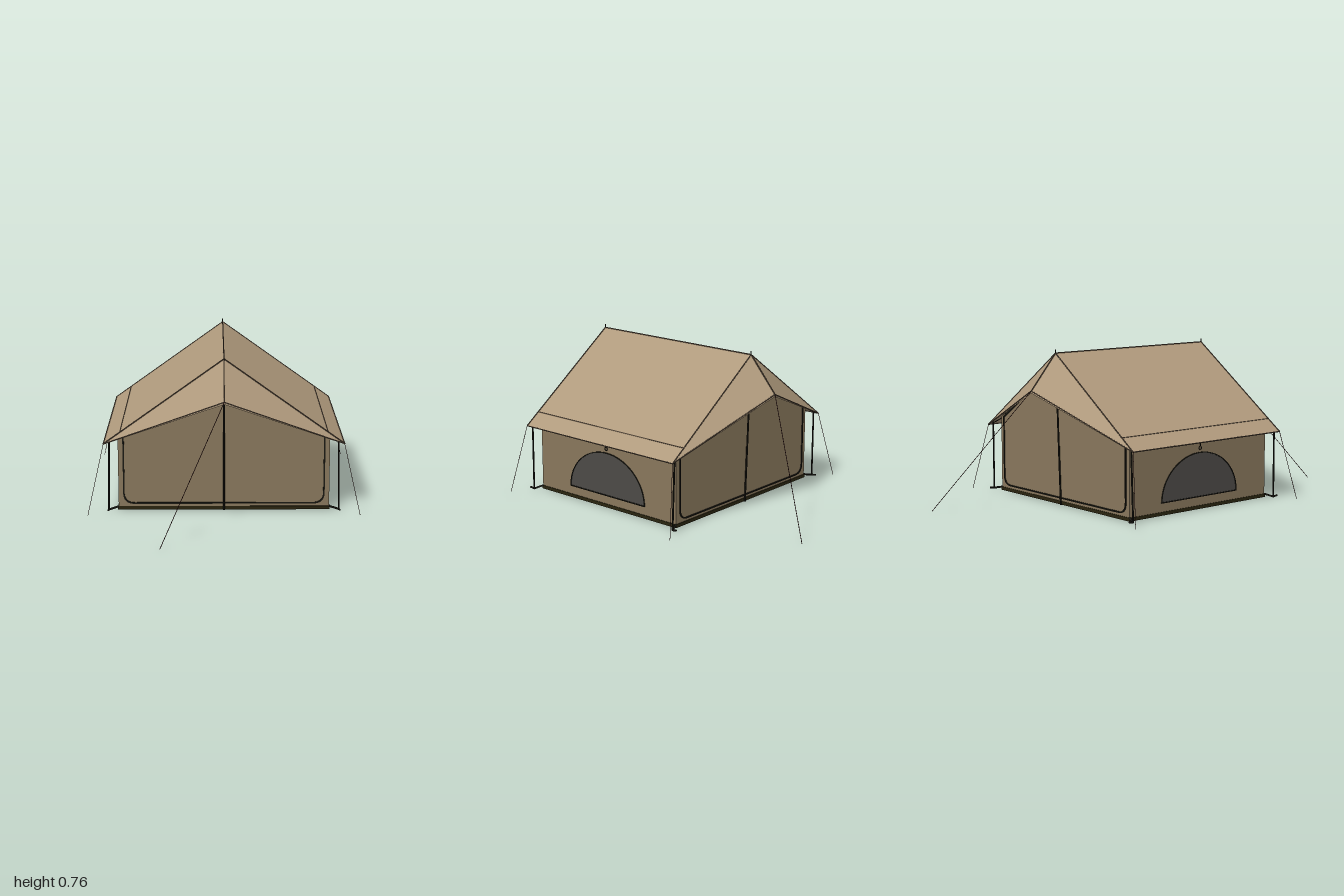
import * as THREE from 'three';

const mat = (name, color, side = THREE.FrontSide) => {
  const m = new THREE.MeshStandardMaterial({ color, side });
  m.name = name;
  return m;
};

export function createModel() {
  const tent = new THREE.Group();
  tent.name = 'canvasTent';
  const roofTan = mat('roof canvas', 0xb09a7d, THREE.DoubleSide);
  const wallTan = mat('wall canvas', 0x88775c, THREE.DoubleSide);
  const meshGrey = mat('window mesh', 0x4c4a47, THREE.DoubleSide);
  const seamBrown = mat('seam brown', 0x5c4e40);
  const black = mat('black webbing', 0x1a1913);
  const floorDark = mat('groundsheet', 0x29240f);
  const cord = mat('guy cord', 0x3a1719);

  const add = (name, geometry, material) => {
    const mesh = new THREE.Mesh(geometry, material);
    mesh.name = name;
    tent.add(mesh);
    return mesh;
  };
  const V = (x, y, z) => new THREE.Vector3(x, y, z);
  // Flat panel from a fan of corners
  const panel = (name, corners, material) => {
    const pts = [];
    for (let i = 1; i < corners.length - 1; i++) pts.push(corners[0], corners[i], corners[i + 1]);
    const g = new THREE.BufferGeometry().setFromPoints(pts);
    g.computeVertexNormals();
    return add(name, g, material);
  };
  // Straight rod between two points
  const rod = (name, a, b, r, material, sides = 6) => {
    const d = b.clone().sub(a);
    const m = add(name, new THREE.CylinderGeometry(r, r, d.length(), sides), material);
    m.position.copy(a).add(b).multiplyScalar(0.5);
    m.quaternion.setFromUnitVectors(V(0, 1, 0), d.normalize());
    return m;
  };

  const EX = 0.565, EY = 0.335, RY = 0.74, RZ = 0.475;
  const WX = 0.5, WZ = 0.44;
  const roofY = (x) => EY + (1 - Math.abs(x) / EX) * (RY - EY);

  // Groundsheet with a low tub edge
  add('groundsheet', new THREE.BoxGeometry(WX * 2 + 0.006, 0.017, WZ * 2 + 0.006), floorDark)
    .position.y = 0.0105;

  // Gable wall outline and its inset door outline
  const wallTop = roofY(WX) - 0.004;
  const gable = new THREE.Shape([[-WX, 0.01], [WX, 0.01], [WX, wallTop], [0, RY - 0.006], [-WX, wallTop]]
    .map(([x, y]) => new THREE.Vector2(x, y)));
  const doorLine = (shape, i) => {
    const x = 0.478 - i, y = 0.031 + i, r = 0.055 - i;
    shape.moveTo(-x + r, y);
    shape.lineTo(x - r, y);
    shape.quadraticCurveTo(x, y, x, y + r);
    shape.lineTo(x, 0.385 - i);
    shape.lineTo(0, 0.715 - i);
    shape.lineTo(-x, 0.385 - i);
    shape.lineTo(-x, y + r);
    shape.quadraticCurveTo(-x, y, -x + r, y);
    return shape;
  };
  const zipShape = doorLine(new THREE.Shape(), 0);
  zipShape.holes.push(doorLine(new THREE.Path(), 0.007));
  const zipGeometry = new THREE.ExtrudeGeometry(zipShape, { depth: 0.004, bevelEnabled: false });

  // Half-round side window and its rim
  const arch = (shape, i) => {
    shape.moveTo(0.245 - i, 0.06 + i);
    shape.absellipse(0, 0.06 + i, 0.245 - i, 0.217 - 2 * i, 0, Math.PI, false);
    shape.closePath();
    return shape;
  };
  const windowGeometry = new THREE.ShapeGeometry(arch(new THREE.Shape(), 0), 24);
  const rimShape = arch(new THREE.Shape(), 0);
  rimShape.holes.push(arch(new THREE.Path(), 0.005));
  const rimGeometry = new THREE.ExtrudeGeometry(rimShape, { depth: 0.004, bevelEnabled: false, curveSegments: 24 });

  // Front and back ends
  for (const s of [1, -1]) {
    const end = s > 0 ? 'front' : 'back';
    const turn = s > 0 ? 0 : Math.PI;
    const wall = add(end + 'Wall', new THREE.ShapeGeometry(gable), wallTan);
    wall.position.z = s * WZ;
    wall.rotation.y = turn;
    const zip = add(end + 'DoorZip', zipGeometry, black);
    zip.position.z = s * (WZ + 0.001);
    zip.rotation.y = turn;

    // Ridge pole with spike
    const peak = V(0, RY, s * RZ), tip = V(0, 0.57, s * 0.62);
    rod(end + 'Pole', V(0, 0.003, s * 0.45), V(0, RY, s * RZ), 0.0045, black, 8);
    rod(end + 'PoleSpike', peak, V(0, 0.757, s * RZ), 0.003, black);
    rod(end + 'AwningRidgeSeam', peak, tip, 0.003, seamBrown);
    rod(end + 'GuyLine', tip, V(s * -0.285, 0.001, s * 0.999), 0.0016, cord);

    for (const k of [1, -1]) {
      const name = end + (k > 0 ? 'Left' : 'Right');
      const corner = V(k * EX, EY, s * RZ);
      // Porch awning with short valance
      panel(name + 'Awning', k * s > 0 ? [peak, tip, corner] : [peak, corner, tip], roofTan);
      const drop = V(0, -0.011, 0);
      panel(name + 'Valance', [tip, corner, corner.clone().add(drop.clone().multiplyScalar(0.3)), tip.clone().add(drop)], roofTan);
      rod(name + 'AwningHem', tip, corner, 0.0028, seamBrown);
      rod(name + 'HipSeam', peak, corner, 0.003, seamBrown);

      // Corner pole, foot strap, peg and guy line
      const foot = V(k * 0.545, 0.008, s * 0.458);
      rod(name + 'CornerPole', foot, V(k * 0.538, roofY(0.538) - 0.004, s * 0.464), 0.0042, black, 8);
      rod(name + 'FootStrap', V(k * WX, 0.018, s * WZ), foot, 0.005, black);
      rod(name + 'FootPeg', foot, V(k * 0.547, 0.012, s * 0.482), 0.005, black);
      rod(name + 'CornerStrap', V(k * WX, 0.37, s * WZ), V(k * 0.54, 0.345, s * 0.462), 0.002, black);
      rod(name + 'CornerGuyLine', corner, V(k * 0.64, 0.001, s * 0.525), 0.0013, cord);
    }
  }

  // Long sides
  for (const k of [1, -1]) {
    const side = k > 0 ? 'left' : 'right';
    const x = k * WX;
    panel(side + 'Wall', [V(x, 0.01, k * WZ), V(x, 0.01, -k * WZ), V(x, wallTop, -k * WZ), V(x, wallTop, k * WZ)], wallTan);
    panel(side + 'Roof', [V(0, RY, k * RZ), V(k * EX, EY, k * RZ), V(k * EX, EY, -k * RZ), V(0, RY, -k * RZ)], roofTan);
    rod(side + 'EaveHem', V(k * EX, EY, RZ), V(k * EX, EY, -RZ), 0.003, seamBrown);
    rod(side + 'RoofSeam', V(k * 0.487, roofY(0.487), RZ), V(k * 0.487, roofY(0.487), -RZ), 0.002, seamBrown);

    const pane = add(side + 'Window', windowGeometry, meshGrey);
    pane.position.set(k * (WX + 0.002), 0, -0.003);
    pane.rotation.y = k * Math.PI / 2;
    const rim = add(side + 'WindowRim', rimGeometry, black);
    rim.position.set(k * (WX + 0.001), 0, -0.003);
    rim.rotation.y = k * Math.PI / 2;

    // Window tie with ring
    rod(side + 'WindowTie', V(k * 0.506, 0.305, -0.005), V(k * 0.506, 0.37, -0.005), 0.0025, black);
    const ring = add(side + 'TieRing', new THREE.TorusGeometry(0.008, 0.002, 6, 12), black);
    ring.position.set(k * 0.506, 0.297, -0.005);
    ring.rotation.y = Math.PI / 2;
  }
  rod('ridgeSeam', V(0, RY, RZ), V(0, RY, -RZ), 0.003, seamBrown);

  return tent;
}
